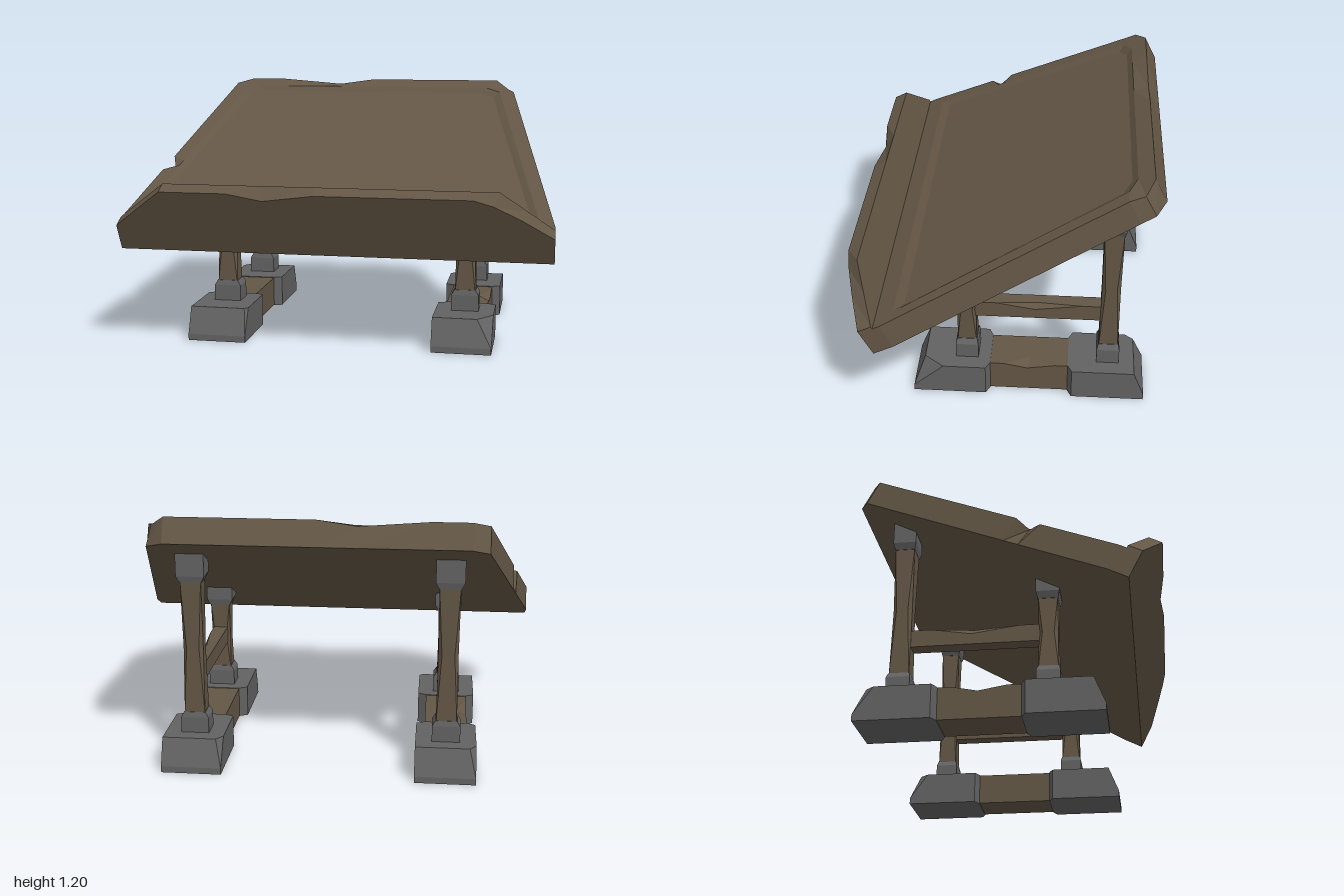
import * as THREE from 'three';

const wood = new THREE.MeshStandardMaterial({ color: 0x635645 });
wood.name = 'dark wood';
const stone = new THREE.MeshStandardMaterial({ color: 0x626262 });
stone.name = 'grey stone';

// Flat-faced solid through loops of [x, y, z], bottom to top, anticlockwise from above
function loft(loops) {
  const pos = [];
  const tri = (...pts) => pts.forEach((p) => pos.push(...p));
  const n = loops[0].length;
  const centre = (loop) => [0, 1, 2].map((k) => loop.reduce((s, p) => s + p[k], 0) / n);
  const first = loops[0], last = loops[loops.length - 1];
  const c0 = centre(first), c1 = centre(last);
  for (let i = 0; i < n; i++) {
    const j = (i + 1) % n;
    for (let k = 0; k + 1 < loops.length; k++) {
      const a = loops[k], b = loops[k + 1];
      tri(a[i], a[j], b[j]);
      tri(a[i], b[j], b[i]);
    }
    tri(c0, first[j], first[i]);
    tri(c1, last[i], last[j]);
  }
  const g = new THREE.BufferGeometry();
  g.setAttribute('position', new THREE.Float32BufferAttribute(pos, 3));
  g.computeVertexNormals();
  return g;
}

function part(parent, name, loops, material) {
  const mesh = new THREE.Mesh(loft(loops), material);
  mesh.name = name;
  parent.add(mesh);
  return mesh;
}

// Rectangle loop with corners cut by c; y may depend on z
function rect(hx, hz, y, c = 0, zc = 0) {
  const height = typeof y === 'function' ? y : () => y;
  return [
    [hx - c, hz], [hx, hz - c], [hx, c - hz], [hx - c, -hz],
    [c - hx, -hz], [-hx, c - hz], [-hx, hz - c], [c - hx, hz],
  ].map(([x, z]) => [x, height(z + zc), z + zc]);
}

// Horizontal beam with a shallow chip in its upper outer edge
function chippedBeam(hw, y0, y1, zFront, zBack, chipA, chipMid, chipB, depth) {
  const loop = (y, d) => [
    [hw, y, zFront], [hw, y, chipA], [hw, y - d, chipMid], [hw, y, chipB],
    [hw, y, zBack], [-hw, y, zBack], [-hw, y, zFront],
  ];
  return [loop(y0, 0), loop(y1, depth)];
}

// Height of the sloping underside of the board
const underside = (z) => 0.475 + (0.545 - z) * 0.508;

// Tilted board with a shallow recessed panel and a raised front lip
function buildBoard() {
  const board = new THREE.Group();
  board.name = 'slopedBoard';
  board.position.set(0, 0.465, 0.545);
  board.rotation.x = Math.atan2(0.63, 1.24);

  const outline = [
    [1, 0.06], [1, 0.1], [0.764, 1.27], [0.75, 1.34], [0.67, 1.391], [0, 1.391],
    [-0.18, 1.391], [-0.5, 1.391], [-0.67, 1.391], [-0.75, 1.34],
    [-0.899, 0.6], [-0.914, 0.527], [-0.923, 0.48], [-1, 0.1], [-1, 0.06],
  ];
  const T = 0.123;
  const bottom = outline.map(([x, u]) => [x, 0, -u]);
  const top = outline.map(([x, u]) => [x, T, -u]);
  top[3] = [0.735, 0.1, -1.335]; // chipped corner
  top[6] = [-0.18, 0.1, -1.38]; // chipped back edge
  top[11] = [-0.875, 0.105, -0.527]; // chipped side
  const inset = (uf, ub, s, v) => outline.map(([x, u]) =>
    [x * s, v, -(uf + (ub - uf) * (u - 0.06) / 1.331)]);
  part(board, 'boardPanel', [
    bottom, top, inset(0.157, 1.313, 0.92, T), inset(0.2, 1.28, 0.88, T - 0.015),
  ], wood);

  // Lip outline in x and height, lofted through its thickness
  const lip = [
    [1, 0], [1, 0.135], [0.88, 0.233], [0.76, 0.331], [0.65, 0.331], [-0.05, 0.331],
    [-0.3, 0.331], [-0.45, 0.331], [-0.76, 0.331], [-1, 0.135], [-1, 0],
  ];
  const back = lip.map(([x, v]) => [x, -0.067, -v]);
  const front = lip.map(([x, v]) => [x, 0, -v]);
  front[2] = [0.86, 0, -0.23];
  front[3] = [0.74, 0, -0.3];
  front[6] = [-0.3, 0, -0.293];
  part(board, 'frontLip', [back, front], wood).rotation.x = Math.PI / 2;
  return board;
}

// Stone foot, its sloping end facing +z
function footLoops(cut) {
  const loop = (y, zo, c) => [
    [0.14 - c, y, zo], [0.14, y, zo - c * 1.3], [0.14, y, 0.085], [0.1, y, 0.065],
    [-0.1, y, 0.065], [-0.14, y, 0.085], [-0.14, y, zo],
  ];
  return [loop(0, 0.425, 0), loop(0.03, 0.425, 0), loop(0.155, 0.375, cut)];
}

function buildPost(name, zc, capY) {
  const post = new THREE.Group();
  post.name = name;
  const mid = (0.25 + capY) / 2;
  part(post, 'lowerCollar', [
    rect(0.065, 0.053, 0.15, 0, zc), rect(0.065, 0.053, 0.23, 0, zc),
    rect(0.05, 0.047, 0.255, 0, zc),
  ], stone);
  part(post, 'leg', [
    rect(0.048, 0.045, 0.24, 0, zc), rect(0.046, 0.043, mid, 0.017, zc),
    rect(0.048, 0.045, capY + 0.01, 0, zc),
  ], wood);
  part(post, 'upperCap', [
    rect(0.05, 0.046, capY - 0.005, 0, zc), rect(0.065, 0.053, capY + 0.025, 0, zc),
    rect(0.065, 0.053, underside, 0, zc),
  ], stone);
  return post;
}

// One side frame: two feet, two posts and the timbers joining them
function buildFrame(side) {
  const frame = new THREE.Group();
  frame.name = side > 0 ? 'leftFrame' : 'rightFrame';
  frame.position.x = side * 0.585;
  part(frame, 'frontFoot', footLoops(side > 0 ? 0.07 : 0.015), stone);
  const backFoot = part(frame, 'backFoot', footLoops(0.03), stone);
  backFoot.rotation.y = Math.PI;
  backFoot.position.z = -0.235;
  const sill = part(frame, 'floorBeam',
    chippedBeam(0.1, 0.003, 0.152, 0.075, -0.31, 0, -0.11, -0.24, 0.022), wood);
  const rail = part(frame, 'crossRail',
    chippedBeam(0.035, 0.385, 0.465, 0.14, -0.45, 0.04, -0.14, -0.36, 0.03), wood);
  if (side < 0) {
    // turn the chipped edge outwards
    for (const [beam, z] of [[sill, -0.235], [rail, -0.31]]) {
      beam.rotation.y = Math.PI;
      beam.position.z = z;
    }
  }
  frame.add(buildPost('frontPost', 0.176, 0.59), buildPost('backPost', -0.486, 0.885));
  return frame;
}

export function createModel() {
  const model = new THREE.Group();
  model.name = 'slopedTable';
  model.add(buildBoard(), buildFrame(1), buildFrame(-1));
  return model;
}
